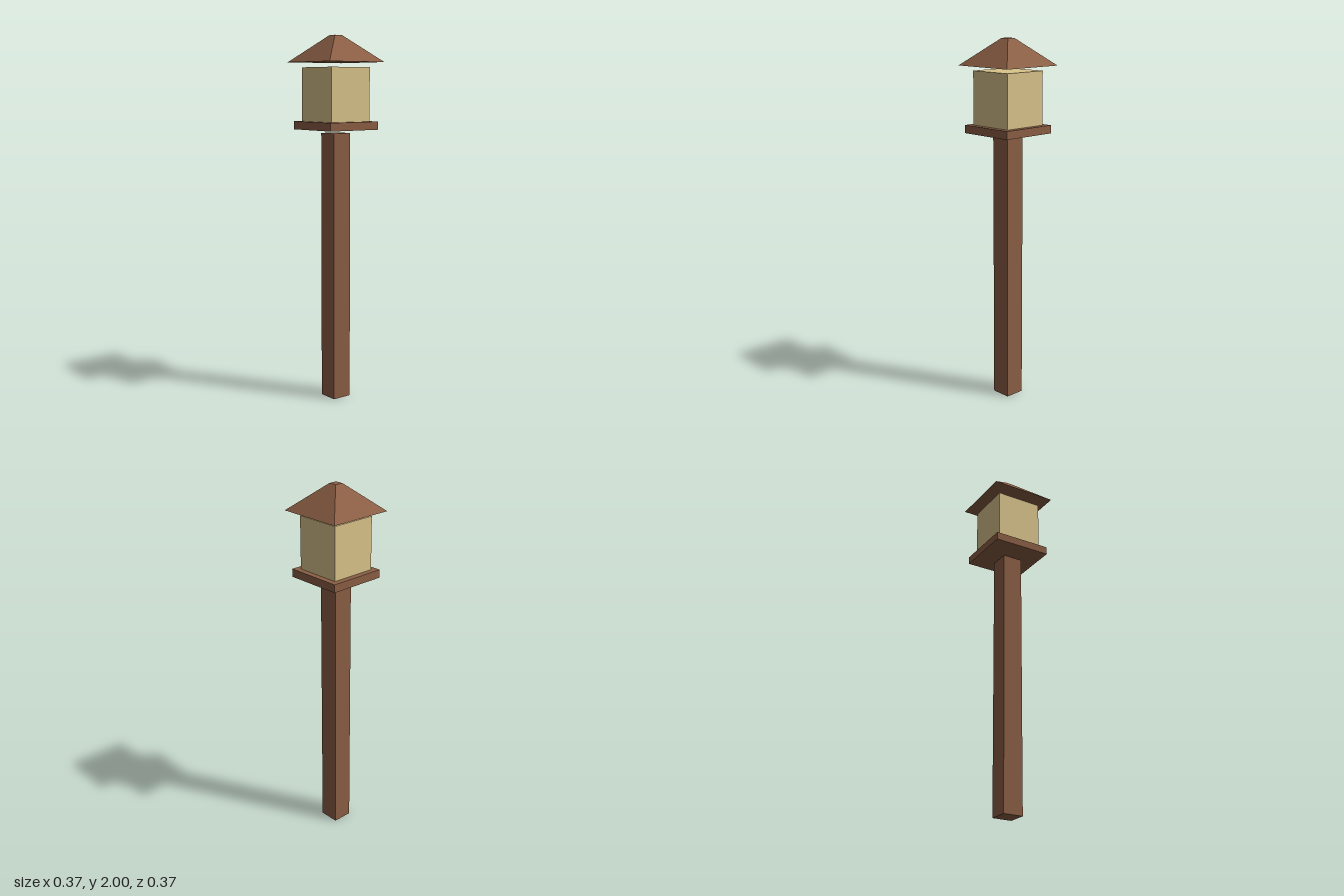
import * as THREE from 'three';

export function createModel() {
  const model = new THREE.Group();
  const wood = new THREE.MeshStandardMaterial({ color: 0x8b5f45 });
  const glow = new THREE.MeshStandardMaterial({ color: 0xdac48b });
  wood.name = 'wood';
  glow.name = 'lampGlass';

  // Square block standing between two heights
  function block(name, width, bottom, top, material) {
    const mesh = new THREE.Mesh(new THREE.BoxGeometry(width, top - bottom, width), material);
    mesh.name = name;
    mesh.position.y = (bottom + top) / 2;
    model.add(mesh);
  }

  block('post', 0.112, 0, 1.478, wood);
  block('platform', 0.325, 1.497, 1.541, wood);
  block('lampBox', 0.26, 1.541, 1.83, glow);

  // Four-sided roof with a small flat top
  const roofGeometry = new THREE.CylinderGeometry(0.0235 * Math.SQRT2, 0.185 * Math.SQRT2, 0.143, 4)
    .rotateY(Math.PI / 4)
    .toNonIndexed();
  roofGeometry.computeVertexNormals();
  const roof = new THREE.Mesh(roofGeometry, wood);
  roof.name = 'roof';
  roof.position.y = 2 - 0.143 / 2;
  model.add(roof);

  return model;
}
